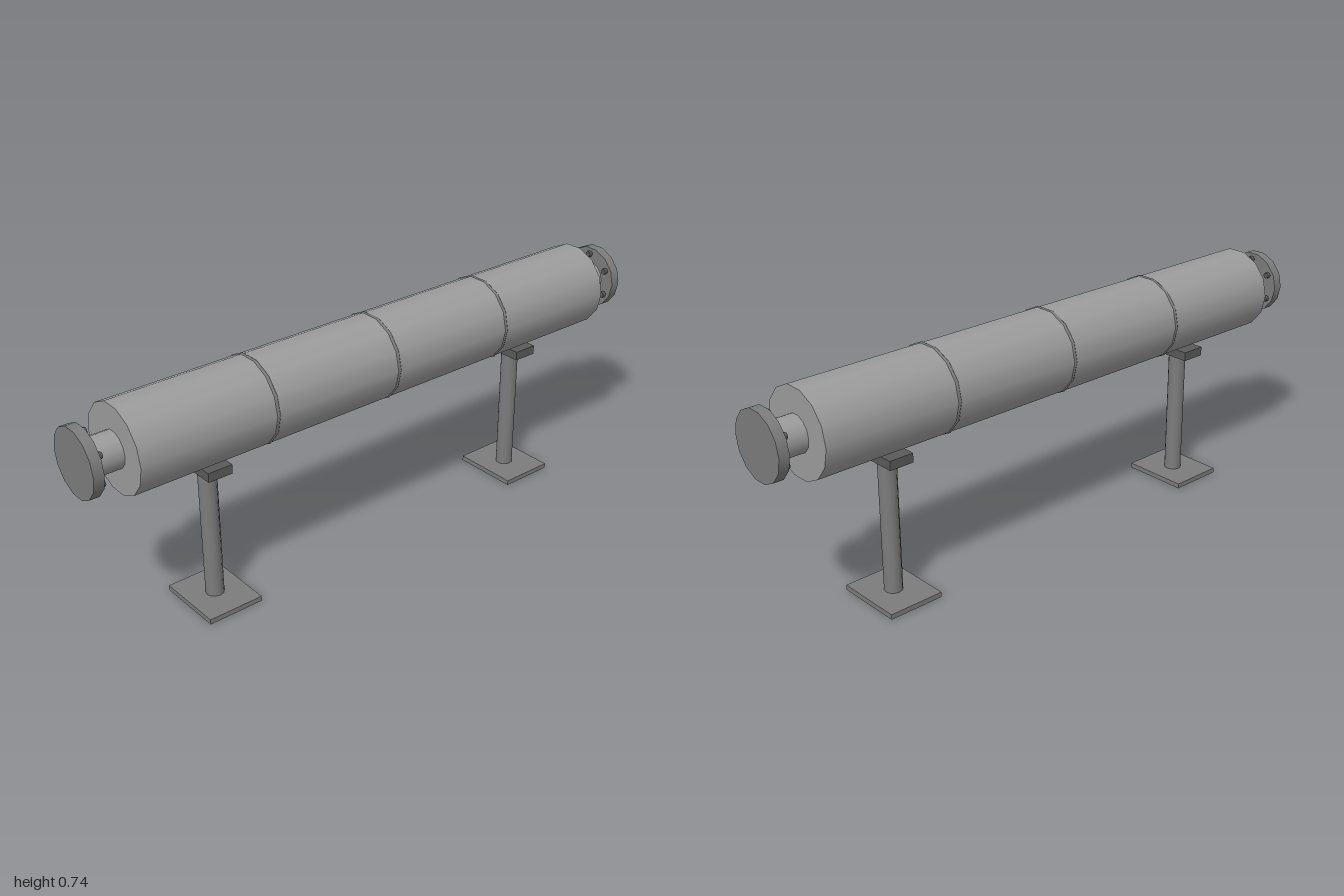
import * as THREE from 'three';

export function createModel() {
  const group = new THREE.Group();
  const mat = (name, color) => {
    const m = new THREE.MeshStandardMaterial({ color });
    m.name = name;
    return m;
  };
  const light = mat('light grey', 0x9c9c9c);
  const mid = mat('mid grey', 0x7c7c7c);
  const dark = mat('dark grey', 0x5a5a5a);
  const AXIS_Y = 0.601;
  const SIDES = 14;

  const add = (name, geometry, material, x, y, z) => {
    const mesh = new THREE.Mesh(geometry, material);
    mesh.name = name;
    mesh.position.set(x, y, z);
    group.add(mesh);
  };
  // Cylinder lying along z, with a corner on the x axis
  const lying = (radius, length, sides = SIDES) =>
    new THREE.CylinderGeometry(radius, radius, length, sides, 1, false, Math.PI / 2).rotateX(Math.PI / 2);

  // Main pipe shell and its thin weld bands
  add('shell', lying(0.1345, 1.76), light, 0, AXIS_Y, 0);
  for (const z of [-0.44, 0, 0.44]) {
    add('weldBand', new THREE.TorusGeometry(0.1305, 0.007, 6, SIDES), mid, 0, AXIS_Y, z);
  }

  for (const s of [-1, 1]) {
    // End nozzle and flange
    add('nozzle', lying(0.056, 0.1), light, 0, AXIS_Y, s * 0.925);
    add('flange', lying(0.104, 0.032), mid, 0, AXIS_Y, s * 0.984);

    // Bolt heads on the inner flange face
    for (let i = 0; i < 6; i++) {
      const a = Math.PI / 6 + (i * Math.PI) / 3;
      add('bolt', lying(0.01, 0.016, 6), dark,
        0.083 * Math.cos(a), AXIS_Y + 0.083 * Math.sin(a), s * 0.963);
    }

    // Support stand
    add('basePlate', new THREE.BoxGeometry(0.22, 0.016, 0.18), mid, 0, 0.008, s * 0.6);
    add('post', new THREE.CylinderGeometry(0.028, 0.028, 0.422, 12), mid, 0, 0.226, s * 0.6);
    add('saddle', new THREE.BoxGeometry(0.14, 0.029, 0.08), dark, 0, 0.4505, s * 0.6);
  }
  return group;
}
